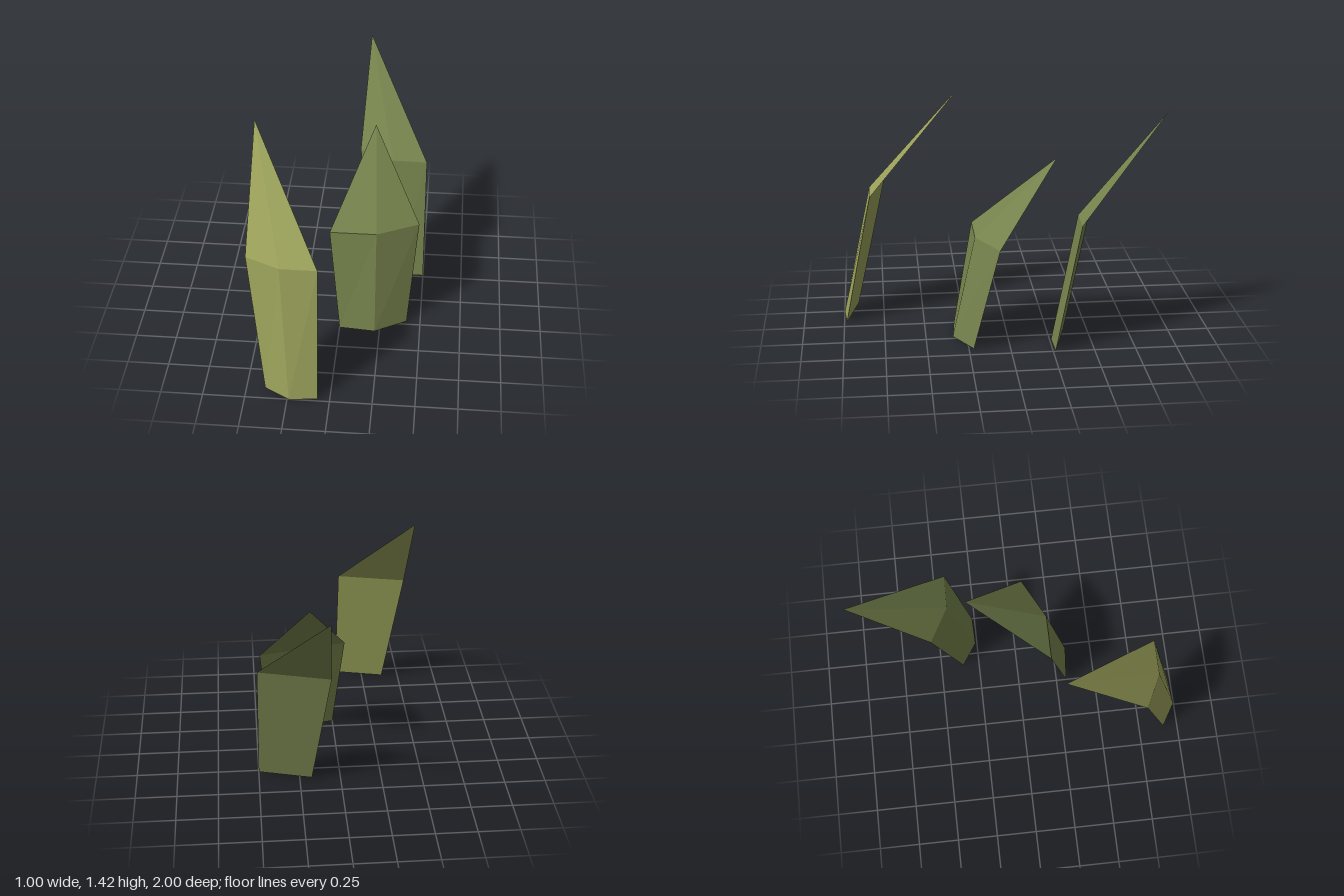
import * as THREE from 'three';

// A bent three-sided blade: base triangle, bend triangle and a pointed tip.
// Each triangle lists [x, z] for its left, front and right corners.
function bladeGeometry({ base, bend, bendY, tip }) {
  const low = base.map(([x, z]) => [x, 0, z]);
  const mid = bend.map(([x, z]) => [x, bendY, z]);
  const corners = [low[0], low[2], low[1]]; // underside
  for (let i = 0; i < 3; i++) {
    const j = (i + 1) % 3;
    corners.push(low[i], low[j], mid[j], low[i], mid[j], mid[i]); // stem side
    corners.push(mid[i], mid[j], tip); // tip side
  }
  const geometry = new THREE.BufferGeometry();
  geometry.setAttribute('position', new THREE.Float32BufferAttribute(corners.flat(), 3));
  geometry.computeVertexNormals(); // unshared corners give flat faces
  return geometry;
}

export function createModel() {
  const yellowOlive = new THREE.MeshStandardMaterial({ color: 0x999f59 });
  yellowOlive.name = 'yellowOlive';
  const grassGreen = new THREE.MeshStandardMaterial({ color: 0x75824c });
  grassGreen.name = 'grassGreen';

  const blades = [
    {
      name: 'frontBlade', material: yellowOlive,
      base: [[-0.39, 0.91], [-0.24, 1.0], [-0.07, 0.985]],
      bend: [[-0.505, 0.72], [-0.3, 0.82], [-0.08, 0.82]],
      bendY: 0.815, tip: [-0.5, 1.425, 0.21],
    },
    {
      name: 'middleBlade', material: grassGreen,
      base: [[0, 0.315], [0.22, 0.335], [0.415, 0.22]],
      bend: [[-0.07, 0.195], [0.215, 0.195], [0.47, 0.065]],
      bendY: 0.64, tip: [0.175, 1.115, -0.305],
    },
    {
      name: 'rearBlade', material: grassGreen,
      base: [[0.175, -0.355], [0.32, -0.26], [0.5, -0.265]],
      bend: [[0.065, -0.535], [0.28, -0.42], [0.495, -0.415]],
      bendY: 0.785, tip: [0.1, 1.375, -1.0],
    },
  ];

  const grass = new THREE.Group();
  grass.name = 'grassTuft';
  for (const blade of blades) {
    const mesh = new THREE.Mesh(bladeGeometry(blade), blade.material);
    mesh.name = blade.name;
    grass.add(mesh);
  }
  return grass;
}
